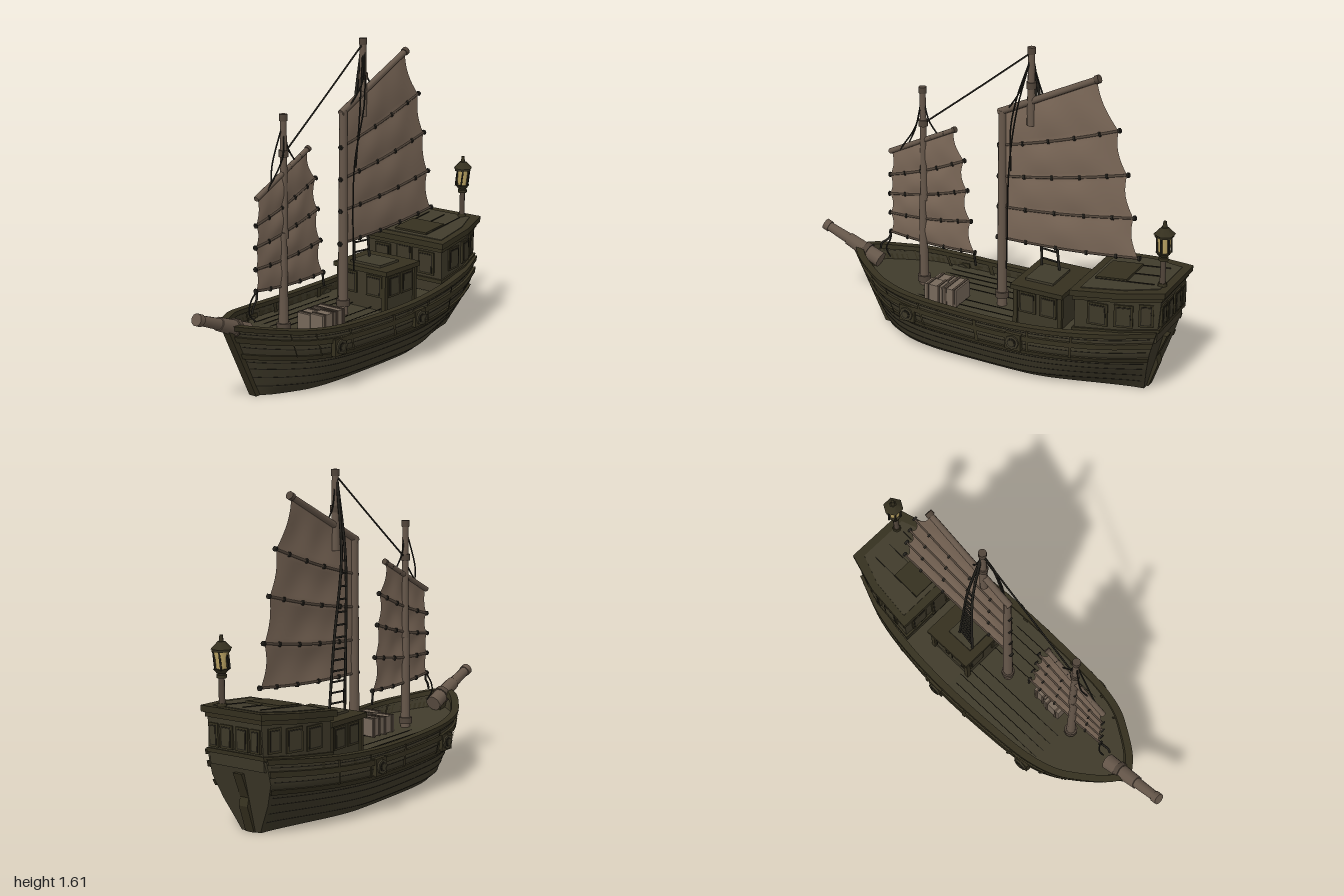
import * as THREE from 'three';
import { toCreasedNormals } from 'three/addons/utils/BufferGeometryUtils.js';

const mat = (name, color) => {
  const m = new THREE.MeshStandardMaterial({ color, side: THREE.DoubleSide });
  m.name = name;
  return m;
};
const hullWood = mat('hull wood', 0x3d3828), deckWood = mat('deck wood', 0x403b2b), trimWood = mat('trim wood', 0x35301f);
const seamDark = mat('dark seam', 0x211e16), mastWood = mat('mast wood', 0x66574a), sailCloth = mat('sail cloth', 0x7a6757);
const battenWood = mat('batten wood', 0x51453a), crateWood = mat('crate wood', 0x76685a), rope = mat('rope', 0x23211c);
const glass = mat('lantern glass', 0xc4ab68);

const V = (x, y, z) => new THREE.Vector3(x, y, z);
const lerp = THREE.MathUtils.lerp;

export function createModel() {
  const ship = new THREE.Group();
  ship.name = 'sailingJunk';
  const add = (name, geo, material, parent = ship) => {
    const m = new THREE.Mesh(geo, material);
    m.name = name;
    parent.add(m);
    return m;
  };
  const box = (name, w, h, d, x, y, z, material, ry = 0, parent = ship) => {
    const m = add(name, new THREE.BoxGeometry(w, h, d), material, parent);
    m.position.set(x, y, z);
    m.rotation.y = ry;
    return m;
  };
  // round bar from a to b
  const rod = (name, a, b, r0, r1, material, sides = 8) => {
    const m = add(name, new THREE.CylinderGeometry(r1, r0, a.distanceTo(b), sides), material);
    m.position.copy(a).lerp(b, 0.5);
    m.quaternion.setFromUnitVectors(V(0, 1, 0), b.clone().sub(a).normalize());
    return m;
  };
  const line = (name, pts, r = 0.004) =>
    add(name, new THREE.TubeGeometry(new THREE.CatmullRomCurve3(pts), 20, r, 5), rope);
  // surface over a (0..1, 0..1) grid
  const grid = (fn, nu, nv, crease = 0.5) => {
    const pos = [], idx = [];
    for (let i = 0; i <= nu; i++) for (let j = 0; j <= nv; j++) pos.push(...fn(i / nu, j / nv).toArray());
    for (let i = 0; i < nu; i++) for (let j = 0; j < nv; j++) {
      const a = i * (nv + 1) + j, b = a + nv + 1;
      idx.push(a, b, b + 1, a, b + 1, a + 1);
    }
    const g = new THREE.BufferGeometry();
    g.setAttribute('position', new THREE.Float32BufferAttribute(pos, 3));
    g.setIndex(idx);
    return toCreasedNormals(g, crease);
  };

  // ---- Hull: stations of (position along hull, half breadth, rail height)
  const stations = new THREE.CatmullRomCurve3([[0, .015, .375], [.035, .09, .365], [.1, .175, .345], [.16, .235, .33],
    [.25, .275, .313], [.4, .293, .302], [.6, .298, .302], [.75, .282, .318], [.88, .245, .342], [1, .17, .365]].map(p => V(...p)));
  const levels = [0, .15, .4, .7, 1], mid = [.62, .82, .92, 1.01, .99], stern = [.32, .48, .76, 1, 1];
  const ratio = (table, v) => {
    const c = Math.min(Math.max(v, 0), 0.999), k = levels.findIndex(l => l > c) - 1;
    return lerp(table[k], table[k + 1], (c - levels[k]) / (levels[k + 1] - levels[k]));
  };
  const hullPoint = (t, v) => {
    const c = stations.getPoint(Math.min(Math.max(t, 0), 1)), k = THREE.MathUtils.smoothstep(c.x, 0.6, 1);
    return V(lerp(lerp(-.61, -.78, v), lerp(.85, .945, v), c.x), v * c.z, c.y * lerp(ratio(mid, v), ratio(stern, v), k));
  };
  // strip that follows the hull, between two heights and two outward offsets
  const band = (name, t0, t1, v0, v1, o0, o1, material) => {
    const prof = [[v0, o0], [v0, o1], [v1, o1], [v1, o0], [v0, o0]];
    for (const s of [1, -1]) add(name, grid((u, w) => {
      const t = lerp(t0, t1, u), [v, o] = prof[Math.round(w * 4)], p = hullPoint(t, v);
      const d = hullPoint(t + .01, v).sub(hullPoint(t - .01, v)), l = Math.hypot(d.x, d.z);
      return V(p.x - d.z / l * o, p.y, Math.max(p.z + d.x / l * o, 0) * s);
    }, 44, 4), material);
  };
  for (const s of [1, -1]) add('hullSide', grid((u, v) => hullPoint(u, v).multiply(V(1, 1, s)), 48, 20), hullWood);
  const across = (t, v, w) => { const p = hullPoint(t, v); p.z *= w * 2 - 1; return p; };
  add('hullBottom', grid((u, w) => across(u, 0, w), 48, 2), hullWood);
  add('transom', grid((w, v) => across(1, v, w), 2, 20), hullWood);
  add('deck', grid((u, w) => across(u, .8, w), 48, 2), deckWood);
  band('railCap', 0, 1, .97, 1.04, -.025, .012, trimWood);
  band('upperWale', 0, 1, .8, .88, 0, .014, trimWood);
  band('lowerWale', 0, 1, .56, .63, 0, .012, trimWood);
  for (const v of [.14, .27, .4, .5, .72, .92]) band('plankSeam', .02, .99, v, v + .012, 0, .002, seamDark);
  // hull ribs above the wale and deck cleats inside the rail
  for (const t of [.25, .36, .48, .6, .7, .8]) {
    band('hullRib', t, t + .006, .62, .98, 0, .018, trimWood);
    band('railPost', t + .04, t + .05, .8, .98, -.02, 0, trimWood);
  }
  for (const s of [1, -1]) for (const [x, z] of [[-.33, .285], [.27, .305]]) {
    const disc = (name, r, d, o, m) => {
      const c = add(name, new THREE.CylinderGeometry(r, r, d, 8), m);
      c.rotation.x = Math.PI / 2;
      c.position.set(x, .23, (z + o) * s);
    };
    box('sidePlate', .085, .085, .025, x, .23, z * s, trimWood);
    disc('sideBoss', .036, .04, .002, hullWood);
    disc('bossSeam', .024, .006, .022, seamDark);
    disc('bossCentre', .017, .02, .018, hullWood);
  }
  // stem and rudder plates
  const plate = (name, pts, d, m) => {
    const g = new THREE.ExtrudeGeometry(new THREE.Shape(pts.map(p => new THREE.Vector2(...p))), { depth: d, bevelEnabled: false });
    g.translate(0, 0, -d / 2);
    return add(name, g, m);
  };
  plate('stemPost', [[-.625, 0], [-.575, 0], [-.72, .36], [-.81, .375]], .045, trimWood);
  plate('rudder', [[.82, 0], [.86, 0], [.905, .13], [.895, .17], [.945, .29], [.9, .29]], .05, trimWood);
  for (const z of [-.22, -.17, -.12, -.06, .06, .12, .18, .225])
    box('deckSeam', .75 - Math.abs(z) * .8, .003, .003, -.08, .252, z, seamDark);

  // ---- Aft cabin: tapered footprint, raked roof
  const cabinLayer = (name, out, y0, h, material, inset = 0) => {
    const half = [[.555 - out, .235 + out], [.78, .212 + out], [.945 + out, .155 + out]].map(([x, z]) => [x, z - inset]);
    const shape = new THREE.Shape([...half, ...half.map(([x, z]) => [x, -z]).reverse()].map(p => new THREE.Vector2(...p)));
    const g = new THREE.ExtrudeGeometry(shape, { depth: h, bevelEnabled: false });
    g.rotateX(-Math.PI / 2).translate(0, y0, 0);
    const p = g.attributes.position;
    for (let i = 0; i < p.count; i++) {
      const k = (p.getX(i) - .55) / .4;
      p.setXY(i, p.getX(i) + k * (p.getY(i) - .3) * .08, p.getY(i) + k * .045);
    }
    g.computeVertexNormals();
    add(name, g, material);
  };
  cabinLayer('aftCabinWalls', 0, .27, .25, hullWood);
  cabinLayer('aftCabinSill', .01, .325, .02, trimWood);
  cabinLayer('aftCabinCornice', .008, .49, .02, trimWood);
  cabinLayer('aftCabinRoof', .02, .512, .03, trimWood);
  cabinLayer('aftRoofDeck', -.02, .54, .006, deckWood);
  const panel = (name, x, y, z, w, h, ry) => {
    const g = new THREE.Group();
    g.name = name;
    g.position.set(x, y, z);
    g.rotation.y = ry;
    ship.add(g);
    box('panelFrame', w, h, .016, 0, 0, 0, trimWood, 0, g);
    box('panelSeam', w - .018, h - .018, .02, 0, 0, 0, seamDark, 0, g);
    box('panelInset', w - .028, h - .028, .024, 0, 0, 0, hullWood, 0, g);
  };
  for (const s of [1, -1]) {
    panel('sideWindow', .67, .435, .223 * s, .1, .115, .1 * s);
    panel('sideWindow', .795, .445, .208 * s, .09, .115, .27 * s);
    panel('sideWindow', .895, .455, .174 * s, .07, .115, .33 * s);
    panel('sternWindow', .957, .455, .045 * s, .07, .11, Math.PI / 2);
    panel('sternWindow', .957, .455, .12 * s, .055, .11, Math.PI / 2);
    panel('cabinFrontWindow', .555, .42, .14 * s, .1, .12, Math.PI / 2);
  }
  panel('cabinFrontDoor', .555, .4, 0, .1, .2, Math.PI / 2);
  const hatch = box('roofHatch', .16, .015, .2, .68, .563, 0, trimWood);
  hatch.rotation.z = .11;
  for (const z of [-.1, 0, .1]) box('roofSeam', .3, .004, .004, .75, .569, z, seamDark).rotation.z = .11;

  // ---- Midship cabin
  box('midCabinWalls', .24, .2, .29, .32, .335, 0, hullWood);
  box('midCabinRoof', .28, .024, .34, .32, .443, 0, trimWood);
  box('midRoofHatch', .15, .014, .19, .3, .46, 0, deckWood);
  for (const s of [1, -1]) {
    for (const x of [.2, .44]) box('cornerPost', .022, .2, .022, x, .335, .145 * s, trimWood);
    panel('midCabinWindow', .265, .365, .145 * s, .09, .11, 0);
    panel('midCabinWindow', .375, .365, .145 * s, .09, .11, 0);
    panel('midFrontWindow', .2, .365, .08 * s, .1, .11, Math.PI / 2);
  }

  // ---- Deck cargo
  for (const [x, z, w, d, h] of [[-.255, .045, .1, .08, .085], [-.255, .125, .1, .075, .095], [-.165, .085, .075, .14, .09]]) {
    box('crate', w, h, d, x, .25 + h / 2, z, crateWood);
    for (const k of [-.3, .3]) box('crateStrap', .012, h + .008, d + .008, x + k * w, .25 + h / 2, z, battenWood);
  }

  // ---- Masts and bowsprit
  const mast = (name, x, y0, y1, r) => rod(name, V(x, y0, 0), V(x, y1, 0), r, r * .75, mastWood, 10);
  mast('foreMast', -.4, .24, .75, .025);
  mast('foreMastUpper', -.392, .72, 1.3, .02);
  mast('mainMast', .048, .24, 1.27, .026);
  mast('mainTopmast', .2, 1.22, 1.6, .021);
  for (const [x, y, r] of [[-.392, 1.3, .02], [.2, 1.59, .02], [.048, .3, .034], [-.4, .29, .034], [-.392, 1.13, .024], [.2, 1.42, .024]])
    rod('mastCollar', V(x, y - .016, 0), V(x, y + .016, 0), r, r, battenWood, 10);
  rod('bowspritBase', V(-.66, .33, 0), V(-.85, .41, 0), .042, .034, mastWood, 10);
  rod('bowsprit', V(-.83, .402, 0), V(-.985, .462, 0), .029, .024, mastWood, 10);
  rod('bowspritCap', V(-.965, .454, 0), V(-.992, .465, 0), .03, .03, mastWood, 10);
  rod('bowspritCollar', V(-.73, .36, 0), V(-.755, .37, 0), .045, .045, battenWood, 10);

  // ---- Battened sails: rows run from yard to foot as [leftX, leftY, rightX, rightY]
  const sail = (name, rows, yardR) => {
    const n = rows.length - 1;
    add(name, grid((s, t) => {
      const k = Math.min(Math.floor(t * n + 1e-6), n - 1), f = t * n - k, a = rows[k], b = rows[k + 1];
      const r = a.map((q, i) => lerp(q, b[i], f)), bow = Math.sin(Math.PI * f);
      return V(lerp(r[0] + bow * .012, r[2] - bow * .022, s), lerp(r[1], r[3], s) - .012 * Math.sin(Math.PI * s) * Math.min(1, t * n),
        bow * Math.sin(Math.PI * s) * .01 + .003 * bow * Math.sin(s * 17 + k * 2));
    }, 20, n * 8, 1), sailCloth);
    rows.forEach(([x0, y0, x1, y1], i) => {
      const a = V(x0, y0, 0), b = V(x1, y1, 0), at = s => a.clone().lerp(b, s).add(V(0, i ? -.012 * Math.sin(Math.PI * s) : 0, 0));
      if (i === 0) {
        rod('yard', at(-.03), at(1.02), yardR, yardR * .85, mastWood);
        rod('yardCap', at(.99), at(1.03), yardR * 1.15, yardR * 1.15, battenWood);
      } else add('batten', new THREE.TubeGeometry(new THREE.CatmullRomCurve3([-.02, .25, .5, .75, 1.02].map(at)), 12, .0065, 6), battenWood);
      for (const s of [-.01, .2, .42, .64, .85, 1.01]) rod('lashing', at(s - .008), at(s + .008), .013, .013, rope, 6);
    });
  };
  sail('mainSail', [[.045, 1.265, .535, 1.5], [.035, 1.09, .65, 1.27], [.035, .93, .7, 1.06], [.035, .77, .74, .85], [.03, .605, .77, .65]], .018);
  sail('foreSail', [[-.575, .95, -.22, 1.122], [-.585, .82, -.165, .97], [-.59, .715, -.15, .815], [-.59, .61, -.13, .655], [-.59, .505, -.11, .49]], .014);

  // ---- Rigging
  line('mastStay', [V(.2, 1.58, 0), V(-.09, 1.355, 0), V(-.385, 1.13, 0)], .0045);
  line('yardLift', [V(.2, 1.56, 0), V(.14, 1.35, .035), V(.115, 1.2, .045), V(.11, .98, .03)]);
  line('yardLift', [V(.2, 1.57, 0), V(.16, 1.4, .03), V(.08, 1.28, .01)]);
  line('yardLift', [V(.2, 1.56, 0), V(.24, 1.42, -.01), V(.27, 1.36, 0)]);
  line('halyard', [V(.2, 1.55, .01), V(.15, 1.3, .05), V(.1, 1, .03), V(.09, .6, .03), V(.09, .46, .035)]);
  line('foreLift', [V(-.392, 1.28, 0), V(-.42, 1.12, .02), V(-.52, .97, .01)]);
  line('foreLift', [V(-.392, 1.28, 0), V(-.45, 1.08, -.02), V(-.48, 1, 0)]);
  line('foreLift', [V(-.392, 1.28, 0), V(-.36, 1.15, 0), V(-.31, 1.08, 0)]);
  line('foreSheet', [V(-.59, .505, 0), V(-.6, .47, .01), V(-.635, .44, .02), V(-.645, .41, .02)], .006);
  line('foreSheet', [V(-.59, .505, 0), V(-.61, .45, -.02), V(-.63, .4, -.01), V(-.6, .36, 0)]);
  line('foreSheet', [V(-.11, .49, 0), V(-.105, .45, 0), V(-.1, .42, 0)], .006);
  const shrouds = [[.23, -.075], [.335, -.06]].map(([x, z]) =>
    line('shroud', [V(.2, 1.56, -.01), V(lerp(.2, x, .3), 1.2, -.065), V(lerp(.2, x, .7), .8, z), V(x, .455, z)], .007).geometry.parameters.path);
  for (let i = 1; i < 14; i++) {
    const t = .3 + i * .05;
    rod('ratline', shrouds[0].getPoint(t), shrouds[1].getPoint(t), .005, .005, rope, 5);
  }

  // ---- Stern lantern
  const lantern = new THREE.Group();
  lantern.name = 'sternLantern';
  lantern.position.set(.935, 0, .09);
  ship.add(lantern);
  const ring = (name, r0, r1, y0, y1, m, sides = 8) => {
    add(name, new THREE.CylinderGeometry(r1, r0, y1 - y0, sides), m, lantern).position.y = (y0 + y1) / 2;
  };
  ring('lanternFoot', .026, .02, .57, .6, trimWood);
  ring('lanternPole', .015, .013, .58, .74, battenWood);
  ring('lanternCollar', .024, .024, .715, .73, trimWood);
  ring('lanternBase', .022, .04, .735, .757, trimWood, 6);
  ring('lanternGlass', .026, .037, .757, .837, glass, 6);
  ring('lanternRim', .046, .046, .835, .847, trimWood, 6);
  ring('lanternRoof', .052, .018, .847, .88, trimWood, 6);
  ring('lanternFinial', .012, .008, .88, .91, trimWood, 6);
  for (let i = 0; i < 6; i++) {
    const a = i * Math.PI / 3, bar = box('lanternBar', .008, .088, .008, Math.sin(a) * .034, .797, Math.cos(a) * .034, seamDark, a, lantern);
    bar.rotation.x = .13;
  }
  return ship;
}
